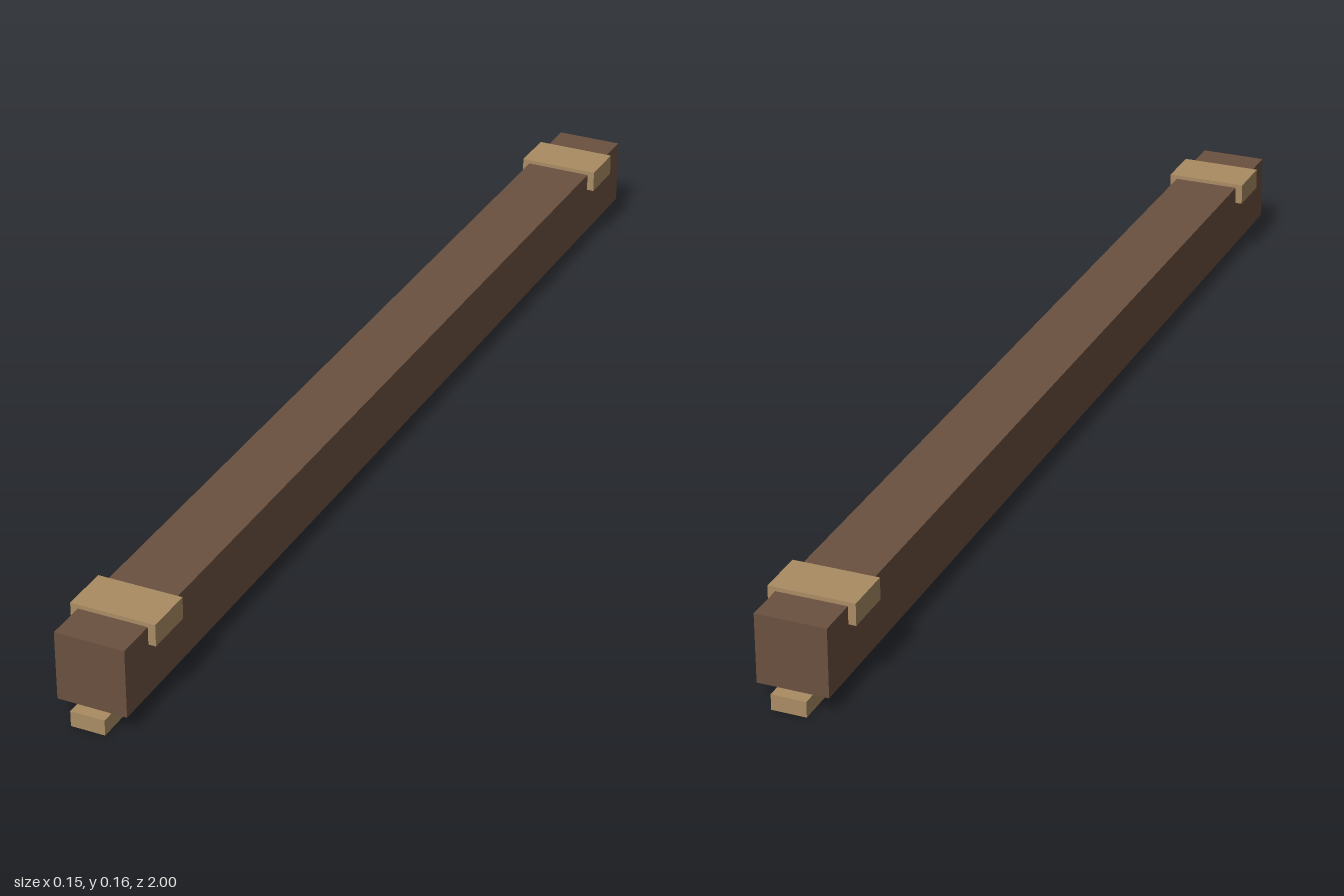
import * as THREE from 'three';

export function createModel() {
  const model = new THREE.Group();
  const darkWood = new THREE.MeshStandardMaterial({ color: 0x6b5140 });
  darkWood.name = 'darkWood';
  const paleWood = new THREE.MeshStandardMaterial({ color: 0xaa8c63 });
  paleWood.name = 'paleWood';

  // Box spanning y0..y1, centred on x = 0
  function addBox(name, material, width, y0, y1, depth, z = 0) {
    const mesh = new THREE.Mesh(new THREE.BoxGeometry(width, y1 - y0, depth), material);
    mesh.name = name;
    mesh.position.set(0, (y0 + y1) / 2, z);
    model.add(mesh);
  }

  // Main beam, with a slim rail just below it
  addBox('beam', darkWood, 0.12, 0.032, 0.151, 1.97);
  addBox('lowerRail', paleWood, 0.059, 0, 0.027, 2);

  // Straps folded over the top near both ends
  for (const [name, side] of [['frontStrap', 1], ['backStrap', -1]]) {
    addBox(name, paleWood, 0.146, 0.12, 0.158, 0.086, side * 0.87);
  }

  return model;
}
